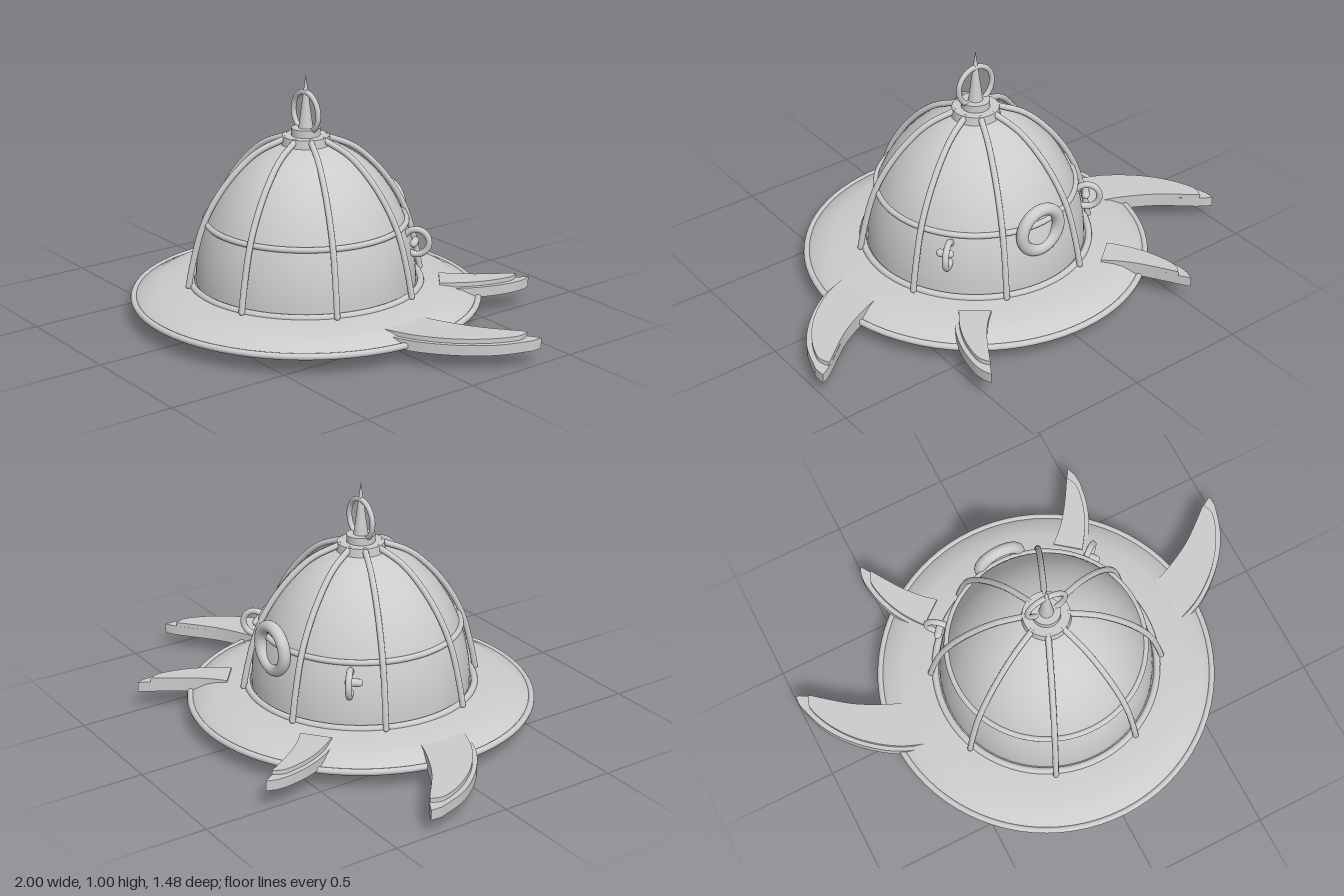
import * as THREE from 'three';
import { toCreasedNormals } from 'three/addons/utils/BufferGeometryUtils.js';

const V2 = (p) => new THREE.Vector2(p[0], p[1]);

export function createModel() {
  const model = new THREE.Group();
  const mat = new THREE.MeshStandardMaterial({ color: 0xcccccc, side: THREE.DoubleSide });
  const body = new THREE.Group();
  body.name = 'hat';
  body.position.z = 0.023;
  model.add(body);

  const add = (parent, name, geo, x = 0, y = 0, z = 0) => {
    const m = new THREE.Mesh(geo, mat);
    m.name = name;
    m.position.set(x, y, z);
    parent.add(m);
    return m;
  };
  const lathe = (pts) => toCreasedNormals(new THREE.LatheGeometry(pts.map(V2), 64), 0.6);

  // Lens-shaped brim with a rolled lip
  add(body, 'brim', lathe([
    [0, 0.003], [0.2, 0.009], [0.38, 0.022], [0.5, 0.034], [0.6, 0.05], [0.66, 0.064], [0.705, 0.078],
    [0.695, 0.09], [0.67, 0.102], [0.64, 0.118], [0.6, 0.129], [0.54, 0.138], [0.48, 0.145], [0.4, 0.15],
  ]));
  const flatRing = (name, r, tube, y) =>
    add(body, name, new THREE.TorusGeometry(r, tube, 12, 80).rotateX(Math.PI / 2), 0, y);
  flatRing('brimLip', 0.703, 0.013, 0.084);
  flatRing('baseRing', 0.468, 0.014, 0.147);

  // Dome and its middle band
  const dome = [];
  for (let i = 0; i <= 24; i++) {
    const a = (i / 24) * Math.PI / 2;
    dome.push([0.45 * Math.cos(a), 0.14 + 0.59 * Math.sin(a)]);
  }
  add(body, 'dome', new THREE.LatheGeometry(dome.map(V2), 64));
  flatRing('domeBand', 0.407, 0.012, 0.402);

  // Eight ribs from the base ring to the cap
  const ribPath = new THREE.CatmullRomCurve3([
    [0.487, 0.152], [0.467, 0.25], [0.428, 0.39], [0.38, 0.49], [0.3, 0.6], [0.2, 0.69], [0.08, 0.742],
  ].map(([r, y]) => new THREE.Vector3(r, y, 0)));
  const ribGeo = new THREE.TubeGeometry(ribPath, 36, 0.0125, 10);
  const footGeo = new THREE.SphereGeometry(0.0125, 10, 8);
  for (let i = 0; i < 8; i++) {
    const rib = new THREE.Group();
    rib.name = 'rib';
    rib.rotation.y = (i + 0.5) * Math.PI / 4;
    add(rib, 'ribTube', ribGeo);
    add(rib, 'ribFoot', footGeo, 0.487, 0.152);
    body.add(rib);
  }

  // Cap, spike and top ring
  add(body, 'capLower', new THREE.CylinderGeometry(0.095, 0.1, 0.04, 40), 0, 0.73);
  add(body, 'capUpper', new THREE.CylinderGeometry(0.058, 0.058, 0.035, 40), 0, 0.763);
  add(body, 'spike', new THREE.ConeGeometry(0.031, 0.23, 24), 0, 0.885);
  add(body, 'topRing', new THREE.TorusGeometry(0.082, 0.011, 12, 48), 0, 0.843);

  // Large ring standing on the back of the dome
  add(model, 'backRing', new THREE.TorusGeometry(0.09, 0.025, 16, 48), 0, 0.385, -0.4);

  // Small rings with pegs on both rear sides, in radial planes
  for (const s of [1, -1]) {
    const side = new THREE.Group();
    side.name = s > 0 ? 'leftSideRing' : 'rightSideRing';
    side.rotation.y = s > 0 ? 0.69 : Math.PI - 0.69;
    add(side, 'ring', new THREE.TorusGeometry(0.052, 0.013, 12, 32), 0.455, 0.335);
    const peg = new THREE.CapsuleGeometry(0.016, 0.04, 6, 12).rotateX(Math.PI / 2);
    add(side, 'peg', peg, 0.45, 0.338, -s * -0.015);
    body.add(side);
  }

  // Flat curved horns: a lower outline and a slightly higher inset layer
  const hornGeo = (s, inner, outer, depth) => {
    const shape = new THREE.Shape();
    const map = (p) => new THREE.Vector2(s * p[0], -p[1]);
    shape.moveTo(s * inner[0][0], -inner[0][1]);
    shape.splineThru(inner.slice(1).map(map));
    shape.lineTo(s * outer[0][0], -outer[0][1]);
    shape.splineThru(outer.slice(1).map(map));
    const g = new THREE.ExtrudeGeometry(shape, { depth, bevelEnabled: false, curveSegments: 20 });
    return toCreasedNormals(g.rotateX(-Math.PI / 2), 0.6);
  };
  // inner edge runs root to tip, outer edge runs tip to root
  const horns = [
    {
      name: 'LargeHorn', y: 0.067,
      inner: [[0.56, -0.09], [0.66, -0.125], [0.8, -0.2], [0.94, -0.312], [0.998, -0.347]],
      outer: [[1.0, -0.3], [0.95, -0.16], [0.855, -0.035], [0.72, 0.07], [0.56, 0.127]],
      inset: [[0.95, -0.318], [0.965, -0.26], [0.92, -0.15], [0.835, -0.04], [0.71, 0.055], [0.56, 0.115]],
    },
    {
      name: 'SmallHorn', y: 0.085,
      inner: [[0.28, -0.45], [0.34, -0.505], [0.4, -0.58], [0.47, -0.69], [0.505, -0.745]],
      outer: [[0.518, -0.71], [0.52, -0.655], [0.5, -0.555], [0.46, -0.46], [0.4, -0.37]],
      inset: [[0.476, -0.7], [0.497, -0.65], [0.48, -0.555], [0.44, -0.46], [0.38, -0.37]],
    },
  ];
  for (const h of horns) {
    for (const s of [1, -1]) {
      const horn = new THREE.Group();
      horn.name = (s > 0 ? 'left' : 'right') + h.name;
      add(horn, 'hornBase', hornGeo(s, h.inner, h.outer, 0.042), 0, h.y);
      add(horn, 'hornTop', hornGeo(s, h.inner.slice(0, 4), h.inset, 0.05), 0, h.y + 0.01);
      model.add(horn);
    }
  }
  return model;
}
